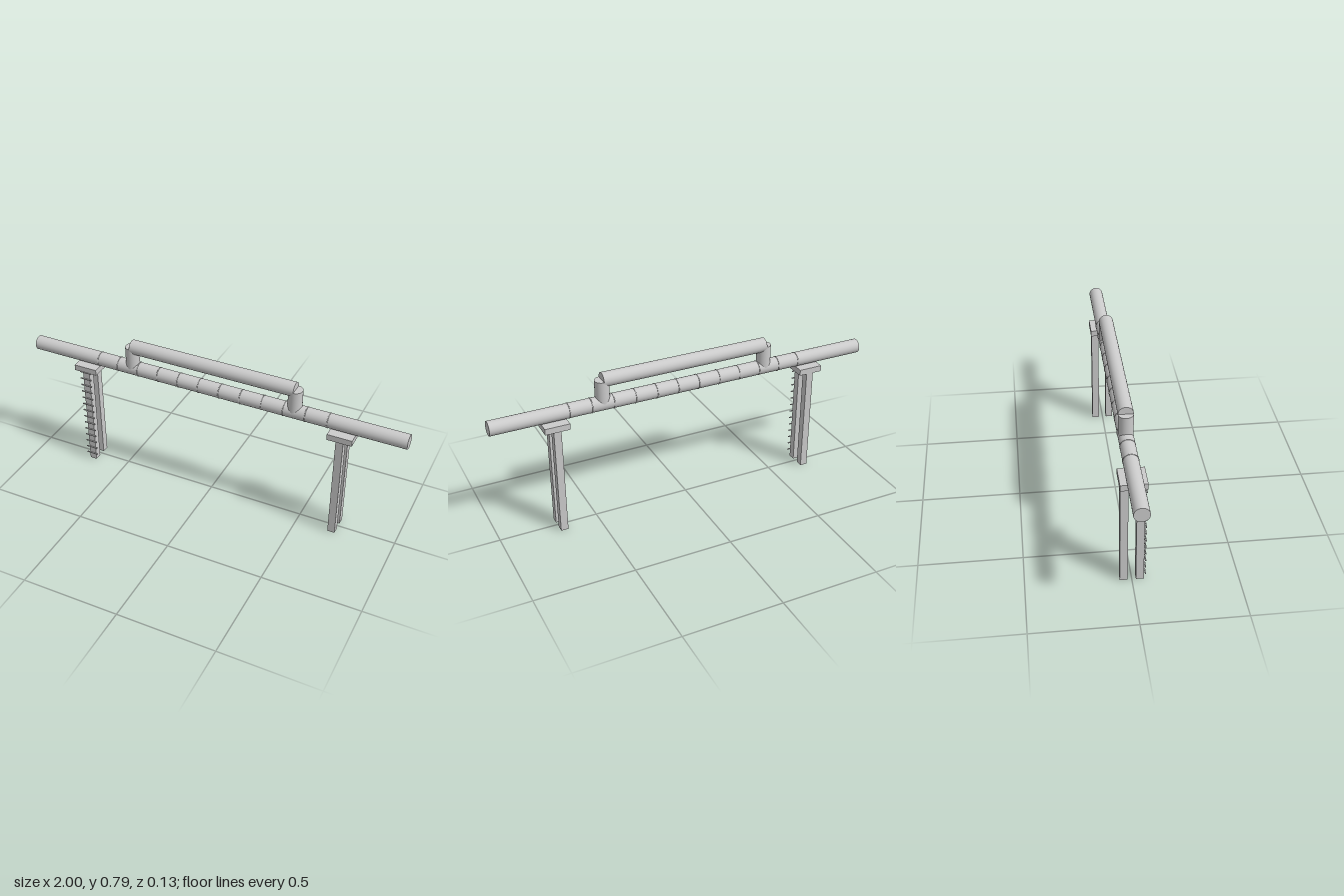
import * as THREE from 'three';

const material = new THREE.MeshStandardMaterial({ color: 0xcccccc });

export function createModel() {
  const model = new THREE.Group();
  model.name = 'pipeBridge';

  const add = (name, geometry, x, y, z = 0) => {
    const mesh = new THREE.Mesh(geometry, material);
    mesh.name = name;
    mesh.position.set(x, y, z);
    model.add(mesh);
    return mesh;
  };

  const R = 0.0365;
  const pipeY = 0.627;
  const bypassY = 0.75;

  // Main horizontal pipe and the raised bypass pipe
  const alongX = (length) => new THREE.CylinderGeometry(R, R, length, 32).rotateZ(Math.PI / 2);
  add('mainPipe', alongX(2), 0, pipeY);
  add('bypassPipe', alongX(0.875), 0, bypassY);

  // Joint rings along the main pipe
  const ring = new THREE.TorusGeometry(R, 0.002, 8, 32).rotateY(Math.PI / 2);
  for (let i = 0; i < 12; i++) add('jointRing', ring, -0.625 + i * 0.1125, pipeY);

  // Mirrored risers and supports
  const riser = new THREE.CylinderGeometry(R * 0.98, R * 0.98, bypassY - pipeY, 32);
  const cap = new THREE.BoxGeometry(0.125, 0.031, 0.125);
  const leg = new THREE.BoxGeometry(0.0375, 0.56, 0.0375);
  for (const side of [-1, 1]) {
    add('riser', riser, side * 0.4375, (pipeY + bypassY) / 2);
    add('supportCap', cap, side * 0.6875, 0.5755);
    for (const z of [-0.038, 0.038]) add('supportLeg', leg, side * 0.6875, 0.28, z);
  }

  // Ladder rungs in front of the right-hand support
  const rung = new THREE.BoxGeometry(0.0625, 0.005, 0.005);
  for (let i = 1; i <= 14; i++) add('ladderRung', rung, -0.6875, i * 0.04, 0.0625);

  return model;
}
